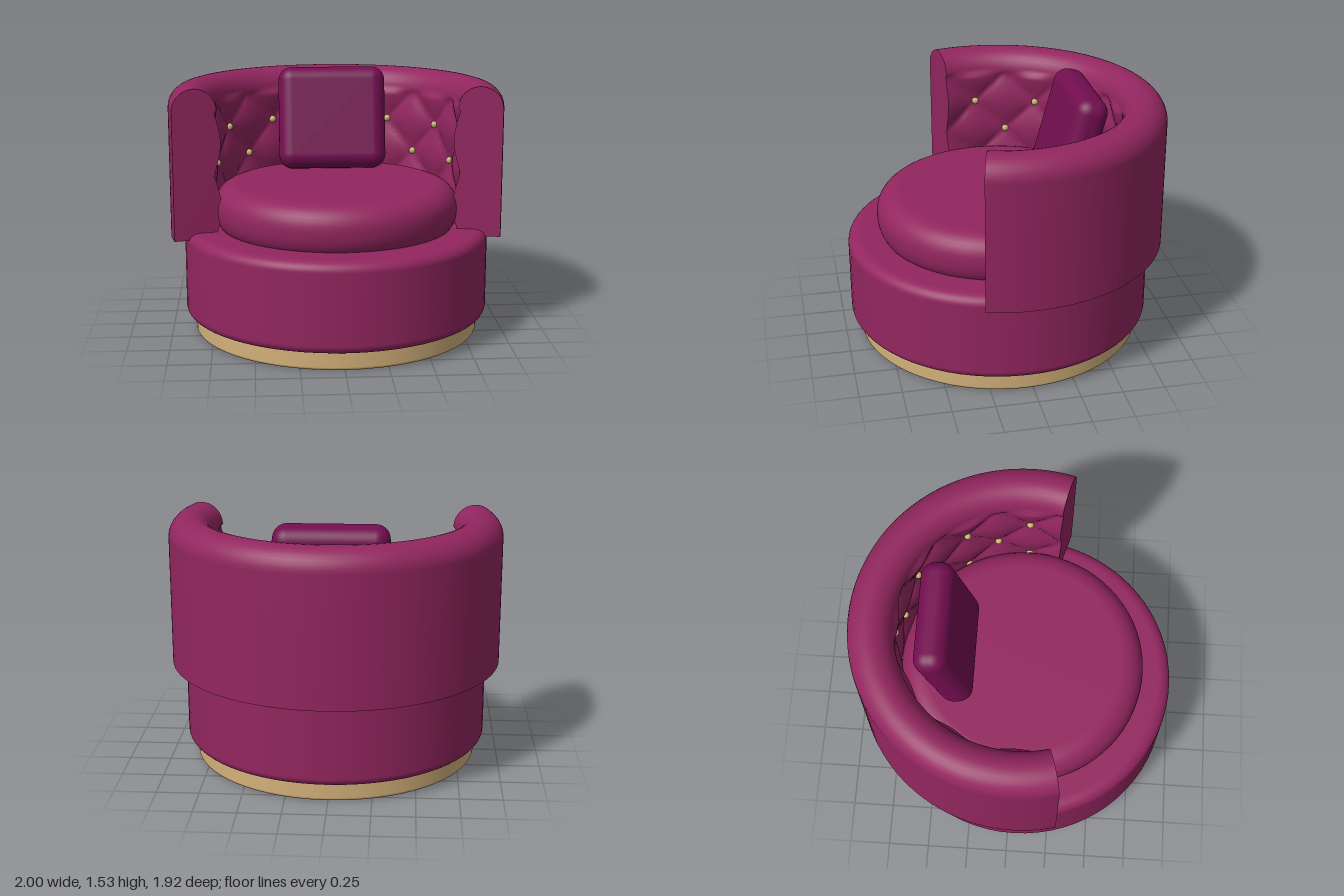
import * as THREE from 'three';
import { RoundedBoxGeometry } from 'three/addons/geometries/RoundedBoxGeometry.js';

const CZ = 0.04; // centre of all the round parts
const deg = Math.PI / 180;
const END = 105 * deg; // backrest sweeps this far each way from the rear

function material(name, color) {
  const m = new THREE.MeshStandardMaterial({ color });
  m.name = name;
  return m;
}

// Solid disc with rounded rims; bottom and top rounding are [radial, vertical]
function disc(radius, y0, y1, bottom, top) {
  const pts = [new THREE.Vector2(0, y0), new THREE.Vector2(radius - bottom[0] - 0.01, y0)];
  const n = 8;
  for (let i = 0; i <= n; i++) {
    const a = (i / n) * Math.PI / 2;
    pts.push(new THREE.Vector2(radius - bottom[0] * (1 - Math.sin(a)), y0 + bottom[1] * (1 - Math.cos(a))));
  }
  for (let i = 0; i <= n; i++) {
    const a = (i / n) * Math.PI / 2;
    pts.push(new THREE.Vector2(radius - top[0] * (1 - Math.cos(a)), y1 - top[1] * (1 - Math.sin(a))));
  }
  pts.push(new THREE.Vector2(radius - top[0] - 0.01, y1), new THREE.Vector2(0, y1));
  return new THREE.LatheGeometry(pts, 72);
}

// Radius of the diamond-tufted inner face
function tuftRadius(theta, y) {
  const u = theta / (30 * deg), v = (y - 1.175) / 0.39;
  const f = Math.abs(Math.sin(Math.PI * (u + v)) * Math.sin(Math.PI * (u - v)));
  return 0.752 - 0.04 * Math.pow(f, 0.6);
}

// Backrest cross-section: up the outside, over the roll, down the inside
function backSection(theta) {
  const pts = [[1, 0.6], [1, 1.0]];
  for (let i = 0; i <= 16; i++) {
    const a = (i / 16) * Math.PI;
    pts.push([0.8675 + 0.1325 * Math.cos(a), 1.37 + 0.13 * Math.sin(a)]);
  }
  for (let i = 0; i <= 32; i++) {
    const y = 1.355 - (0.755 * i) / 32;
    pts.push([tuftRadius(theta, y), y]);
  }
  return pts;
}

// Sweep a section around the rear of the chair
function sweep(section) {
  const steps = 140, pos = [], idx = [];
  const n = section(0).length;
  for (let i = 0; i <= steps; i++) {
    const t = -END + (2 * END * i) / steps;
    for (const [r, y] of section(t)) pos.push(r * Math.sin(t), y, CZ - r * Math.cos(t));
  }
  for (let i = 0; i < steps; i++) {
    for (let j = 0; j < n - 1; j++) {
      const a = i * n + j, b = a + n;
      idx.push(a, a + 1, b, a + 1, b + 1, b);
    }
  }
  const g = new THREE.BufferGeometry();
  g.setAttribute('position', new THREE.Float32BufferAttribute(pos, 3));
  g.setIndex(idx);
  g.computeVertexNormals();
  return g;
}

// Flat end of the backrest
function endCap(theta) {
  const shape = new THREE.Shape(backSection(theta).map(([r, y]) => new THREE.Vector2(r, y)));
  const g = new THREE.ShapeGeometry(shape);
  g.rotateY(Math.PI / 2 - theta).translate(0, 0, CZ);
  if (theta < 0) {
    g.index.array.reverse();
    g.computeVertexNormals();
  }
  return g;
}

export function createModel() {
  const model = new THREE.Group();
  model.name = 'tubChair';
  const velvet = material('magentaVelvet', 0x92265f);
  const plum = material('plumVelvet', 0x720e50);
  const gold = material('paleGold', 0xd3b17a);
  const brass = material('brassButton', 0xc9b36e);

  const add = (name, geometry, mat, parent = model) => {
    const mesh = new THREE.Mesh(geometry, mat);
    mesh.name = name;
    parent.add(mesh);
    return mesh;
  };

  // Plinth, seat and cushion
  add('plinth', disc(0.86, 0, 0.12, [0.02, 0.02], [0.02, 0.02]), gold).position.z = CZ;
  add('seatBase', disc(0.917, 0.11, 0.64, [0.05, 0.05], [0.07, 0.06]), velvet).position.z = CZ;
  add('seatCushion', disc(0.735, 0.62, 0.9, [0.07, 0.13], [0.13, 0.13]), velvet).position.z = CZ;

  // Wrap-around backrest
  const back = new THREE.Group();
  back.name = 'backrest';
  model.add(back);
  add('backShell', sweep(backSection), velvet, back);
  add('backUnderside', sweep((t) => [[tuftRadius(t, 0.6), 0.6], [1, 0.6]]), velvet, back);
  add('leftArmEnd', endCap(END), velvet, back);
  add('rightArmEnd', endCap(-END), velvet, back);

  // Buttons in staggered rows where the folds meet
  const buttonGeometry = new THREE.SphereGeometry(0.022, 12, 8);
  const rows = [
    [1.175, [-90, -60, -30, 0, 30, 60, 90]],
    [0.98, [-75, -45, -15, 15, 45, 75]],
    [0.785, [-90, -60, -30, 0, 30, 60, 90]],
  ];
  for (const [y, angles] of rows) {
    for (const a of angles) {
      const button = add('tuftButton', buttonGeometry, brass, back);
      button.position.set(0.745 * Math.sin(a * deg), y, CZ - 0.745 * Math.cos(a * deg));
    }
  }

  // Loose pillow leaning back
  const pillow = add('pillow', new RoundedBoxGeometry(0.67, 0.64, 0.2, 6, 0.085), plum);
  pillow.position.set(0, 1.215, -0.4);
  pillow.rotation.x = -15 * deg;
  return model;
}
